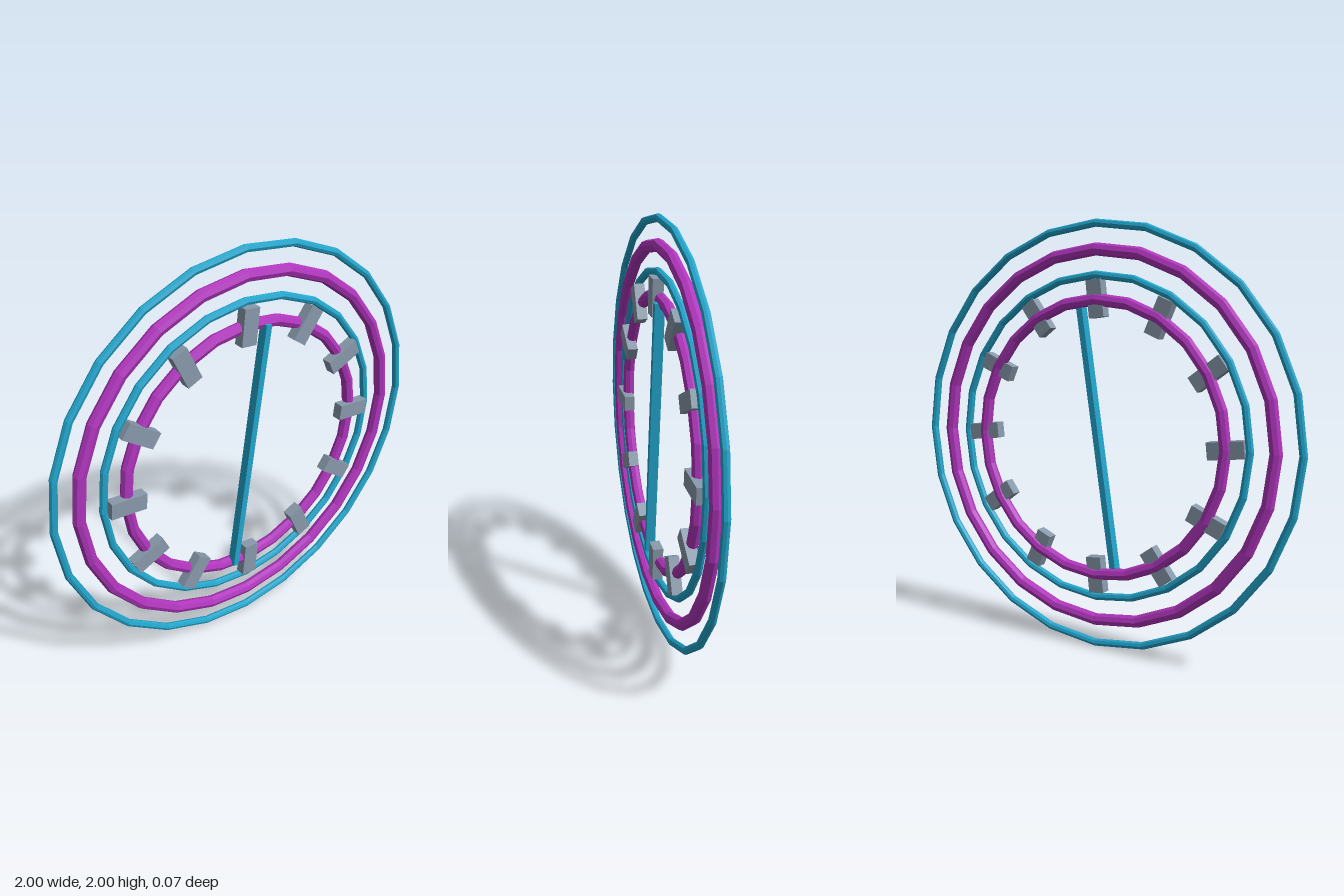
import * as THREE from 'three';

export function createModel() {
  const model = new THREE.Group();
  model.name = 'ringDial';
  const material = (color) => new THREE.MeshStandardMaterial({ color, flatShading: true });
  const cyan = material(0x22a5cc);
  const purple = material(0xb035bd);
  const steel = material(0x8899aa);
  const centreY = 1;
  const ringZ = -0.007;

  function add(name, geometry, mat, x, y, z, tilt = 0) {
    const mesh = new THREE.Mesh(geometry, mat);
    mesh.name = name;
    mesh.position.set(x, centreY + y, z);
    mesh.rotation.z = tilt;
    model.add(mesh);
  }

  // Four concentric faceted rings, alternating thin and thick
  const rings = [
    ['outerRing', 0.98, 0.018, cyan],
    ['outerBand', 0.865, 0.029, purple],
    ['innerRing', 0.752, 0.018, cyan],
    ['innerBand', 0.642, 0.028, purple],
  ];
  for (const [name, radius, tube, mat] of rings) {
    add(name, new THREE.TorusGeometry(radius, tube, 8, 24), mat, 0, 0, ringZ);
  }

  // Twelve marker blocks on the inner band, each turned slightly clockwise
  const block = new THREE.BoxGeometry(0.077, 0.172, 0.05);
  for (let i = 0; i < 12; i++) {
    const a = (i * Math.PI) / 6;
    add('markerBlock', block, steel, 0.645 * Math.sin(a), 0.645 * Math.cos(a), 0.005, -a - 0.11);
  }

  // Slim tilted needle spanning the inner band
  add('needle', new THREE.BoxGeometry(0.03, 1.275, 0.045), cyan, 0, 0, 0.0135, -0.148);

  return model;
}
